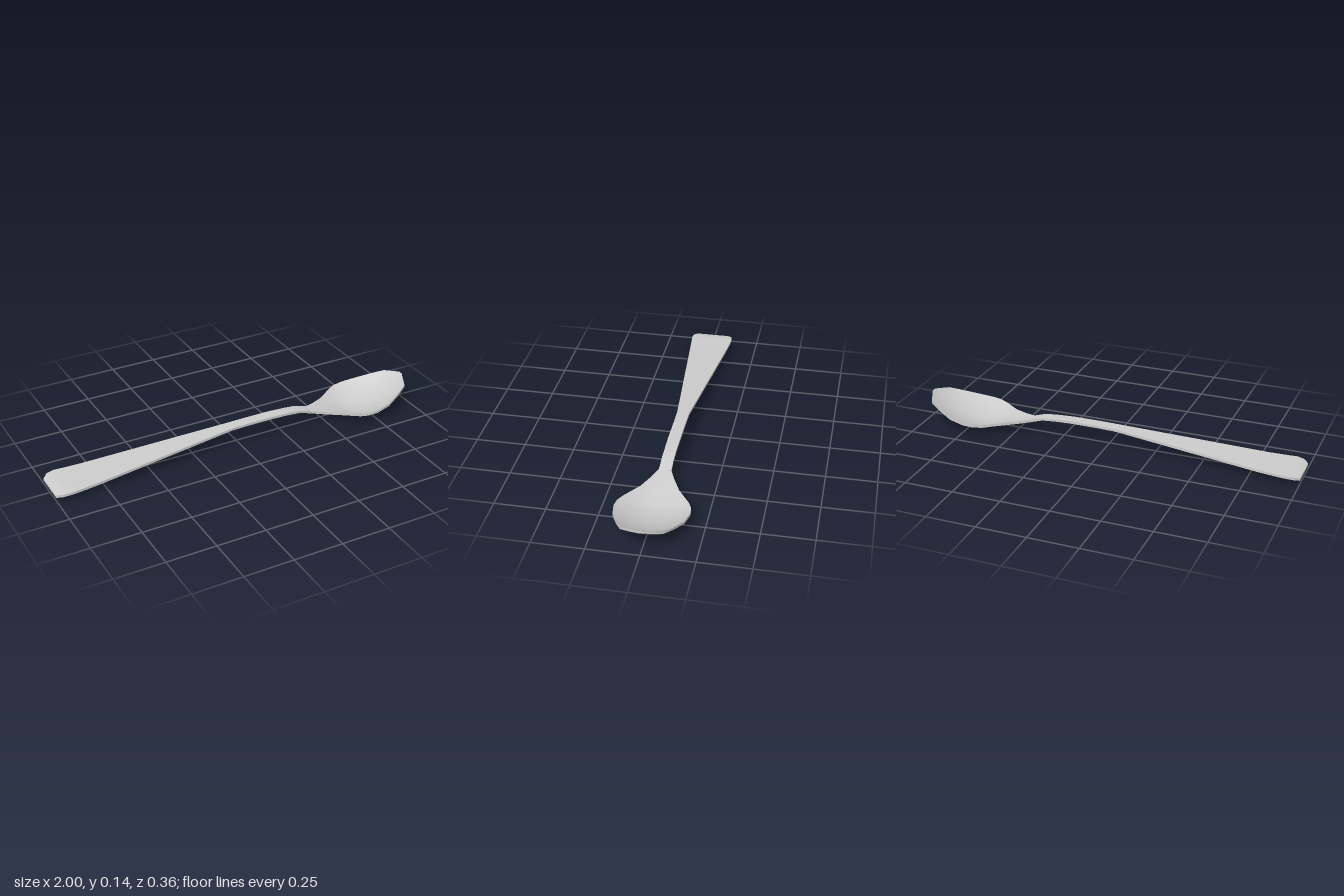
import * as THREE from 'three';
import { toCreasedNormals } from 'three/addons/utils/BufferGeometryUtils.js';

// Cross-sections along the length: x, half width, underside y at the edge, underside y in the middle
const HANDLE = [
  [-1.0, 0.083, 0.018, 0.018],
  [-0.975, 0.106, 0.027, 0.027],
  [-0.94, 0.113, 0.031, 0.031],
  [-0.9, 0.11, 0.031, 0.031],
  [-0.8, 0.101, 0.034, 0.034],
  [-0.04, 0.031, 0.084, 0.084],
  [0.06, 0.03, 0.086, 0.086],
  [0.2, 0.03, 0.086, 0.086],
  [0.29, 0.029, 0.082, 0.082],
  [0.36, 0.029, 0.076, 0.076],
  [0.43, 0.03, 0.054, 0.053],
];
const BOWL = [
  HANDLE[HANDLE.length - 1],
  [0.49, 0.057, 0.046, 0.042],
  [0.56, 0.092, 0.04, 0.026],
  [0.65, 0.155, 0.04, 0.001],
  [0.69, 0.173, 0.043, 0.0],
  [0.74, 0.178, 0.048, 0.004],
  [0.82, 0.164, 0.06, 0.02],
  [0.9, 0.129, 0.083, 0.055],
  [0.96, 0.097, 0.102, 0.09],
  [1.0, 0.011, 0.123, 0.122],
];
const THICKNESS = 0.013;

// Lofts a thin curved sheet through the sections; capped at the chosen ends
function loftSheet(sections, steps, capStart, capEnd) {
  const positions = [];
  const index = [];
  const ringSize = 2 * (steps + 1);
  for (const [x, halfWidth, edgeY, midY] of sections) {
    // Underside from -z to +z, then the upper side back again
    for (let k = 0; k < ringSize; k++) {
      const upper = k > steps;
      const t = ((upper ? ringSize - 1 - k : k) / steps) * 2 - 1;
      const y = midY + (edgeY - midY) * t * t + (upper ? THICKNESS : 0);
      positions.push(x, y, t * halfWidth);
    }
  }
  for (let i = 0; i < sections.length - 1; i++) {
    for (let k = 0; k < ringSize; k++) {
      const a = i * ringSize + k;
      const b = i * ringSize + ((k + 1) % ringSize);
      index.push(a, a + ringSize, b, b, a + ringSize, b + ringSize);
    }
  }
  const cap = (start, flip) => {
    for (let k = 0; k < steps; k++) {
      const a = start + k, b = a + 1;
      const d = start + ringSize - 1 - k, c = d - 1;
      if (flip) index.push(a, c, b, a, d, c);
      else index.push(a, b, c, a, c, d);
    }
  };
  if (capStart) cap(0, false);
  if (capEnd) cap((sections.length - 1) * ringSize, true);

  const geometry = new THREE.BufferGeometry();
  geometry.setAttribute('position', new THREE.Float32BufferAttribute(positions, 3));
  geometry.setIndex(index);
  return toCreasedNormals(geometry, 0.7);
}

export function createModel() {
  const spoon = new THREE.Group();
  spoon.name = 'spoon';
  const metal = new THREE.MeshStandardMaterial({ color: 0xcccccc });

  // Flat tapering handle with an arched neck
  const handle = new THREE.Mesh(loftSheet(HANDLE, 2, true, false), metal);
  handle.name = 'handle';

  // Shallow dished bowl rising to a narrow tip
  const bowl = new THREE.Mesh(loftSheet(BOWL, 8, false, true), metal);
  bowl.name = 'bowl';

  spoon.add(handle, bowl);
  return spoon;
}
